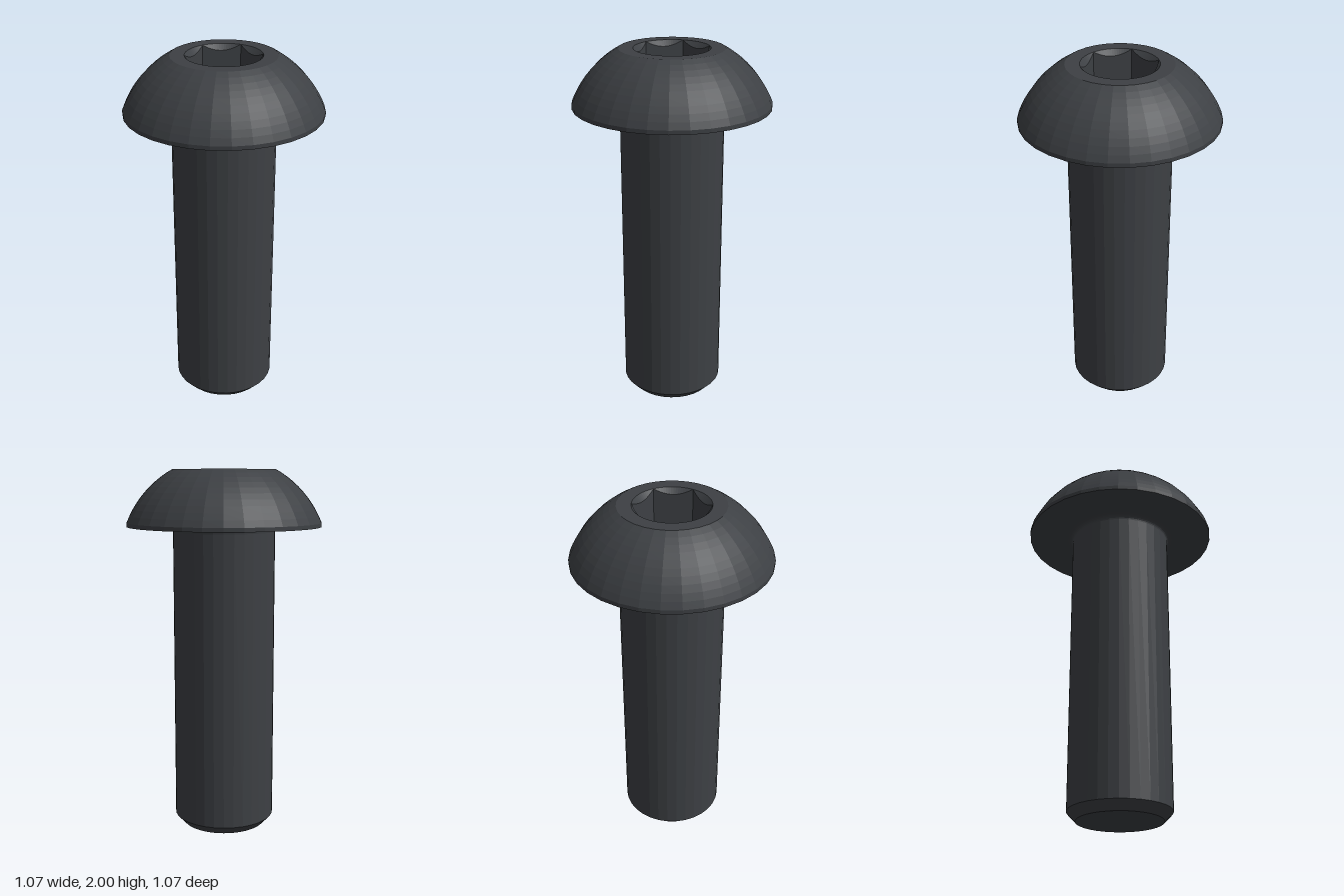
import * as THREE from 'three';

const SIDES = 32;
const material = new THREE.MeshStandardMaterial({ color: 0x3d4044, flatShading: true });

function part(name, geometry) {
  const mesh = new THREE.Mesh(geometry, material);
  mesh.name = name;
  return mesh;
}

// Turned part from [radius, height] pairs listed bottom to top along the outside
function turned(name, profile) {
  return part(name, new THREE.LatheGeometry(profile.map(([r, y]) => new THREE.Vector2(r, y)), SIDES));
}

// Points on an arc around (cx, cy)
function arc(cx, cy, r, from, to, steps) {
  return Array.from({ length: steps + 1 }, (_, i) => {
    const a = from + (to - from) * i / steps;
    return [cx + r * Math.cos(a), cy + r * Math.sin(a)];
  });
}

// Radius of a regular polygon at angle a, with a corner at angle 0
function polygonRadius(a, sides, apothem) {
  const step = 2 * Math.PI / sides;
  const k = Math.floor(a / step + 1e-6);
  return apothem / Math.cos(a - (k + 0.5) * step);
}

// Flat top of the head with a countersunk hexagonal recess
function socketGeometry(topRadius, apothem, depth) {
  const steps = 96, top = 2;
  const corner = apothem / Math.cos(Math.PI / 6);
  const rings = [
    a => [polygonRadius(a, SIDES, topRadius * Math.cos(Math.PI / SIDES)), top],
    () => [corner, top],
    a => {
      const r = polygonRadius(a, 6, apothem);
      return [r, top - (corner - r) * 1.1];
    },
    a => [polygonRadius(a, 6, apothem), top - depth],
    () => [0, top - depth],
  ];
  const point = (ring, i) => {
    const a = 2 * Math.PI * (i % steps) / steps;
    const [r, y] = ring(a);
    return [r * Math.cos(a), y, -r * Math.sin(a)];
  };
  const positions = [];
  for (let k = 0; k < rings.length - 1; k++) {
    for (let i = 0; i < steps; i++) {
      const a = point(rings[k], i), b = point(rings[k], i + 1);
      const c = point(rings[k + 1], i), d = point(rings[k + 1], i + 1);
      positions.push(...a, ...b, ...c);
      if (k < rings.length - 2) positions.push(...b, ...d, ...c);
    }
  }
  const geometry = new THREE.BufferGeometry();
  geometry.setAttribute('position', new THREE.Float32BufferAttribute(positions, 3));
  geometry.computeVertexNormals();
  return geometry;
}

export function createModel() {
  const model = new THREE.Group();
  model.name = 'buttonHeadBolt';

  // Shank with chamfered tip and a small fillet under the head
  model.add(turned('shank', [
    [0, 0], [0.233, 0], [0.28, 0.05],
    ...arc(0.307, 1.666, 0.027, Math.PI, Math.PI / 2, 5),
  ]));

  // Domed head: flat underside, short rim, then a circular arc to the flat top
  const cy = 1.497, r = 0.576;
  model.add(turned('head', [
    [0.307, 1.693], [0.533, 1.693],
    ...arc(0, cy, r, Math.asin((1.715 - cy) / r), Math.asin((2 - cy) / r), 10).slice(0, -1),
    [0.28, 2],
  ]));

  model.add(part('hexSocket', socketGeometry(0.28, 0.176, 0.2)));
  return model;
}
